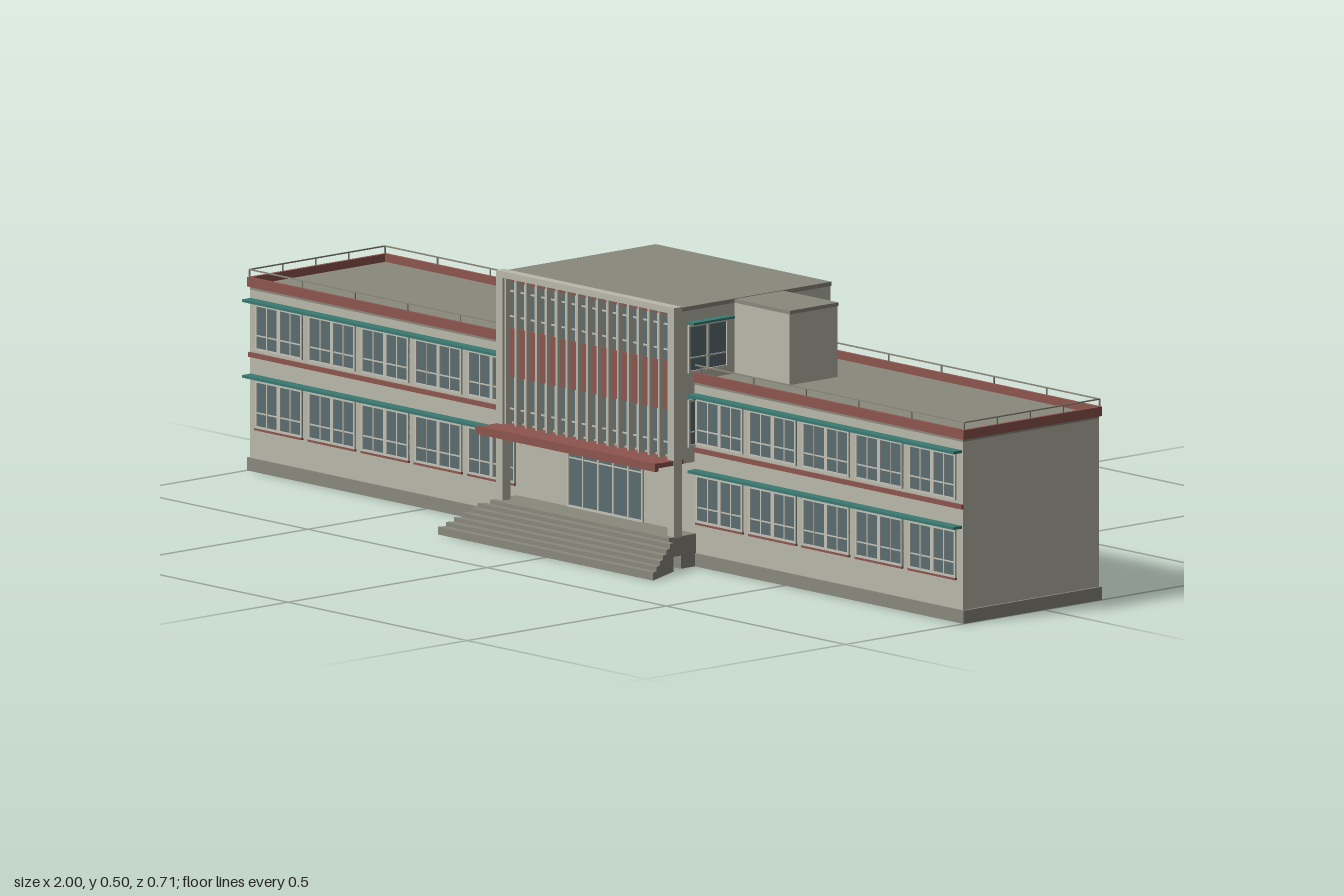
import * as THREE from 'three';

const mat = (name, color, side = THREE.FrontSide) => {
  const m = new THREE.MeshStandardMaterial({ color, side });
  m.name = name;
  return m;
};

export function createModel() {
  const wall = mat('wall plaster', 0xbab9ab);
  const stone = mat('grey stone', 0x8a897d);
  const red = mat('brick red', 0x8e554d);
  const teal = mat('teal visor', 0x3a7a72);
  const glass = mat('window glass', 0x5b6d70);
  const frame = mat('window frame', 0xc3c2b6);

  const model = new THREE.Group();
  model.name = 'building';
  const group = (name, parent = model) => {
    const g = new THREE.Group();
    g.name = name;
    parent.add(g);
    return g;
  };
  // Box given by its extents on each axis
  const box = (name, m, x0, x1, y0, y1, z0, z1, parent = model) => {
    const mesh = new THREE.Mesh(new THREE.BoxGeometry(x1 - x0, y1 - y0, z1 - z0), m);
    mesh.position.set((x0 + x1) / 2, (y0 + y1) / 2, (z0 + z1) / 2);
    mesh.name = name;
    parent.add(mesh);
    return mesh;
  };
  // Glazed unit in the local xy plane facing +z, centred in x and standing on y = 0
  const glazing = (name, w, h, uprights, transom, parent) => {
    const g = group(name, parent);
    const t = 0.004, b = 0.0025;
    box('pane', glass, -w / 2, w / 2, 0, h, 0, 0.002, g);
    for (const s of [-1, 1]) {
      const x = s * (w - t) / 2;
      box('jamb', frame, x - t / 2, x + t / 2, 0, h, 0, 0.005, g);
    }
    box('sillRail', frame, -w / 2, w / 2, 0, t, 0, 0.005, g);
    box('headRail', frame, -w / 2, w / 2, h - t, h, 0, 0.005, g);
    box('transom', frame, -w / 2, w / 2, h * transom - b / 2, h * transom + b / 2, 0, 0.004, g);
    for (const [x, wide] of uprights)
      box('mullion', frame, x * w - wide / 2, x * w + wide / 2, 0, h, 0, 0.0045, g);
    return g;
  };

  // Main body and plinth
  box('mainWalls', wall, -0.995, 0.995, 0.025, 0.345, -0.142, 0.2);
  box('plinth', stone, -1, 1, 0, 0.025, -0.145, 0.203);

  // Both wings, front windows, roof edge and railing
  for (const s of [-1, 1]) {
    const wing = group(s > 0 ? 'leftWing' : 'rightWing');
    const inner = s > 0 ? 0.246 : 0.24;
    const span = (name, m, a, b, ...rest) =>
      box(name, m, Math.min(s * a, s * b), Math.max(s * a, s * b), ...rest, wing);
    span('roof', stone, inner, 0.995, 0.345, 0.353, -0.142, 0.2);
    span('frontParapet', red, inner, 1, 0.35, 0.368, 0.196, 0.203);
    span('backParapet', red, inner, 1, 0.35, 0.368, -0.145, -0.138);
    span('endParapet', red, 0.993, 1, 0.35, 0.368, -0.138, 0.196);
    span('floorBand', red, inner, 0.996, 0.217, 0.226, 0.2, 0.204);
    for (const y of [0.18, 0.324]) span('visor', teal, 0.25, 0.993, y, y + 0.005, 0.2, 0.222);
    for (let i = 0; i < 5; i++) {
      const x = s * (0.318 + i * 0.1485);
      for (const [y, h] of [[0.084, 0.091], [0.232, 0.088]]) {
        glazing('window', 0.13, h, [[-0.25, 0.0025], [0, 0.009], [0.25, 0.0025]], 0.32, wing)
          .position.set(x, y, 0.199);
      }
      box('sill', red, x - 0.066, x + 0.066, 0.08, 0.084, 0.2, 0.205, wing);
    }
    // Roof railing
    const rail = group('railing', wing);
    const bar = 0.0012;
    const post = (x, z) => box('post', stone, x - bar, x + bar, 0.368, 0.382, z - bar, z + bar, rail);
    for (const z of [-0.141, 0.199]) {
      const a = s * inner, b = s * 0.997;
      box('rail', stone, Math.min(a, b), Math.max(a, b), 0.381, 0.3835, z - bar, z + bar, rail);
      for (let i = 0; i < 6; i++) post(s * (0.997 - i * 0.147), z);
    }
    box('rail', stone, s * 0.997 - bar, s * 0.997 + bar, 0.381, 0.3835, -0.141, 0.199, rail);
    for (const z of [-0.05, 0.033, 0.116]) post(s * 0.997, z);
  }

  // Central block
  box('centralBlock', wall, -0.24, 0.246, 0.205, 0.488, -0.142, 0.235);
  box('centralRoof', stone, -0.242, 0.248, 0.488, 0.496, -0.142, 0.235);
  box('stairHead', wall, 0.246, 0.4, 0.35, 0.488, -0.02, 0.1);
  box('stairHeadRoof', stone, 0.246, 0.402, 0.488, 0.495, -0.021, 0.101);

  // Portico frame around the facade
  for (const x of [-0.238, 0.241]) box('corner column', wall, x - 0.009, x + 0.009, 0.06, 0.488, 0.235, 0.255);
  box('topBeam', wall, -0.247, 0.25, 0.486, 0.498, 0.235, 0.255);

  // Facade bays with vertical fins
  const facade = group('facade');
  box('lowerGlass', glass, -0.23, 0.233, 0.212, 0.298, 0.235, 0.238, facade);
  box('upperGlass', glass, -0.23, 0.233, 0.39, 0.478, 0.235, 0.238, facade);
  box('redPanel', red, -0.23, 0.233, 0.298, 0.39, 0.235, 0.242, facade);
  box('headPanel', red, -0.23, 0.233, 0.478, 0.486, 0.235, 0.242, facade);
  for (const y of [0.236, 0.412, 0.46])
    box('transom', frame, -0.23, 0.233, y - 0.0015, y + 0.0015, 0.235, 0.24, facade);
  const bays = 16;
  for (let i = 0; i <= bays; i++) {
    const x = -0.227 + i * 0.457 / bays;
    box('fin', wall, x - 0.0025, x + 0.0025, 0.207, 0.486, 0.235, 0.25, facade);
    if (i < bays) {
      const c = x + 0.457 / bays / 2;
      for (const [a, b] of [[0.212, 0.298], [0.39, 0.478]])
        box('mullion', frame, c - 0.0015, c + 0.0015, a, b, 0.235, 0.24, facade);
    }
  }

  // Windows on the left flank of the central block
  for (const [y, h] of [[0.228, 0.09], [0.369, 0.091]]) {
    const w = glazing('flankWindow', 0.1, h, [[0, 0.005]], 0.31, model);
    w.rotation.y = Math.PI / 2;
    w.position.set(0.245, y, 0.168);
    box('flankVisor', teal, 0.246, 0.266, y + h + 0.003, y + h + 0.007, 0.117, 0.22);
  }

  // Entrance: canopy, doors, landing and flared steps
  box('canopy', red, -0.245, 0.248, 0.198, 0.207, 0.23, 0.296);
  box('canopyFascia', red, -0.25, 0.252, 0.193, 0.209, 0.296, 0.305);
  box('porticoCeiling', wall, -0.24, 0.246, 0.198, 0.206, 0.2, 0.235);
  glazing('entranceDoors', 0.21, 0.115, [-0.3, -0.1, 0.1, 0.3].map(x => [x, 0.004]), 0.82, model)
    .position.set(0, 0.062, 0.199);
  box('landing', stone, -0.25, 0.25, 0.025, 0.062, 0.2, 0.268);
  box('landingBase', stone, -0.25, 0.25, 0, 0.025, 0.2, 0.238);
  const steps = group('steps');
  const halfWidth = z => 0.262 + (z - 0.268) * 0.45;
  for (let i = 0; i < 6; i++) {
    const z0 = 0.268 + i * 0.0142, z1 = z0 + 0.0142;
    const a = halfWidth(z0), b = halfWidth(z1);
    const shape = new THREE.Shape([[-b, -z1], [b, -z1], [a, -z0], [-a, -z0]].map(p => new THREE.Vector2(...p)));
    const geo = new THREE.ExtrudeGeometry(shape, { depth: 0.055 - i * 0.008, bevelEnabled: false });
    const step = new THREE.Mesh(geo.rotateX(-Math.PI / 2), stone);
    step.name = 'step';
    steps.add(step);
  }

  // Rear annex with its door and doorstep
  const annex = group('rearAnnex');
  box('annexWalls', wall, -0.105, 0.121, 0.025, 0.203, -0.328, -0.142, annex);
  box('annexPlinth', stone, -0.107, 0.123, 0, 0.025, -0.33, -0.142, annex);
  box('annexRoof', stone, -0.108, 0.124, 0.203, 0.21, -0.332, -0.142, annex);
  box('rearDoor', glass, -0.032, 0.052, 0.027, 0.148, -0.33, -0.327, annex);
  box('doorstep', stone, -0.043, 0.063, 0, 0.027, -0.352, -0.33, annex);

  return model;
}
